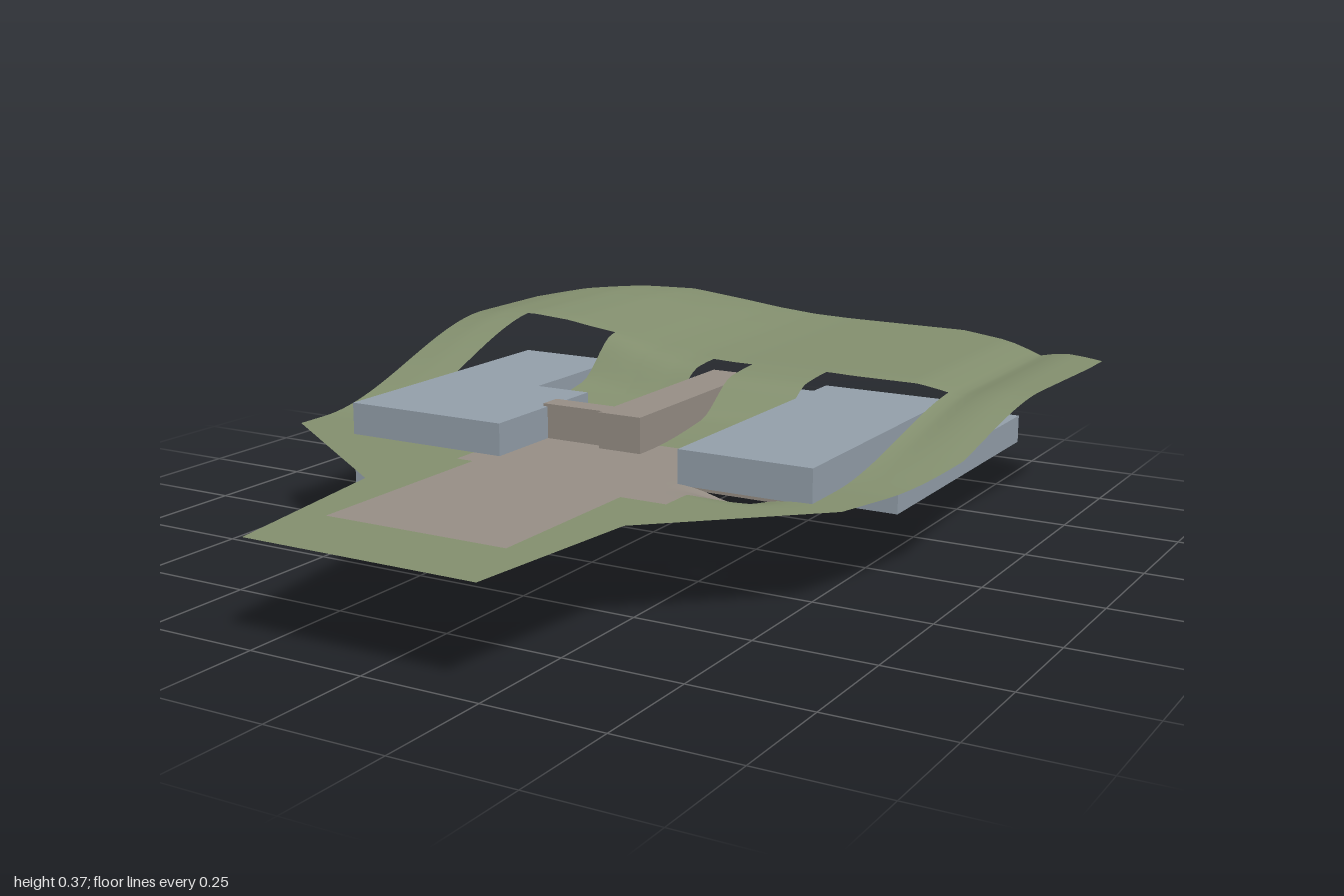
import * as THREE from 'three';

const mat = (name, color, side = THREE.FrontSide) => {
  const m = new THREE.MeshStandardMaterial({ color, side });
  m.name = name;
  return m;
};

// piecewise linear interpolation through [key, value] pairs
function lerpTable(table, k) {
  if (k <= table[0][0]) return table[0][1];
  for (let i = 1; i < table.length; i++) {
    const [k0, v0] = table[i - 1], [k1, v1] = table[i];
    if (k <= k1) return v0 + ((v1 - v0) * (k - k0)) / (k1 - k0);
  }
  return table[table.length - 1][1];
}

// smooth ramp, 0 at a and 1 at b (a may exceed b)
function ramp(a, b, v) {
  const t = Math.min(1, Math.max(0, (v - a) / (b - a)));
  return t * t * (3 - 2 * t);
}

// site outline: x of the left and right borders by z
const WEST = [[-1, -0.46], [-0.66, -0.735], [0.28, -0.735], [0.575, -0.32], [1, -0.255]];
const EAST = [[-1, 0.31], [-0.79, 0.73], [-0.03, 0.69], [0.32, 0.59], [0.6, 0.29], [1, 0.25]];
// height of the hill behind the buildings
const CREST = [[-0.74, 0.355], [-0.65, 0.37], [-0.55, 0.375], [-0.45, 0.368], [-0.3, 0.345], [-0.2, 0.328],
  [-0.1, 0.316], [0, 0.312], [0.45, 0.31], [0.5, 0.302], [0.55, 0.292], [0.6, 0.306], [0.64, 0.312], [0.74, 0.312]];
// cut-outs in the ground [x0, x1, z0, z1]
const HOLES = [[-0.57, -0.32, -0.37, 0.3], [-0.32, -0.19, -0.04, 0.3], [0.23, 0.52, -0.37, 0.3],
  [-0.05, 0.05, -0.36, 0.14], [-0.19, -0.05, 0.07, 0.12]];
// paved areas
const PAVING = [[-0.22, 0.19, 0.12, 0.82], [0.05, 0.23, 0.05, 0.3], [-0.25, 0.36, 0.3, 0.36], [0.15, 0.28, 0.36, 0.44]];

const inside = (rects, x, z) => rects.some(([a, b, c, d]) => x > a && x < b && z > c && z < d);

function groundHeight(x, z) {
  let crest = lerpTable(CREST, x);
  if (crest > 0.312) crest -= (crest - 0.312) * 3.5 * Math.max(0, -0.7 - z) ** 2;
  const gentle = ramp(0.2, -0.42, z);
  const bank = lerpTable([[-0.32, -0.29], [-0.05, -0.22], [0.05, -0.19], [0.23, -0.2]], x);
  const steep = 0.45 * ramp(0.1, -0.4, z) + 0.55 * ramp(bank + 0.07, bank - 0.07, z);
  const court = ramp(-0.4, -0.32, x) * ramp(0.31, 0.23, x);
  const dip = 0.025 * Math.exp(-(((x - 0.36) / 0.07) ** 2) - ((z - 0.31) / 0.03) ** 2);
  return 0.211 + (crest - 0.211) * (gentle + (steep - gentle) * court) - dip;
}

// evenly spaced grid lines plus the lines where cut-outs and corners fall
function gridLines(min, max, step, extra) {
  const set = new Set(extra.map((v) => v.toFixed(3)));
  for (let v = min; v <= max + 1e-6; v += step) set.add(v.toFixed(3));
  return [...set].map(Number).sort((a, b) => a - b);
}

function groundGeometry() {
  const xs = gridLines(-0.735, 0.735, 0.02, HOLES.flatMap((h) => [h[0], h[1]]));
  const zs = gridLines(-1, 1, 0.02, [...HOLES.flatMap((h) => [h[2], h[3]]), ...WEST.map((p) => p[0]), ...EAST.map((p) => p[0])]);
  const pos = [], grass = [], paved = [];
  for (const z of zs) {
    for (const gx of xs) {
      const x = Math.min(lerpTable(EAST, z), Math.max(lerpTable(WEST, z), gx));
      pos.push(x, groundHeight(x, z), z);
    }
  }
  const n = xs.length;
  for (let j = 0; j < zs.length - 1; j++) {
    for (let i = 0; i < n - 1; i++) {
      const a = j * n + i, b = a + 1, c = a + n, d = c + 1;
      const cx = (xs[i] + xs[i + 1]) / 2, cz = (zs[j] + zs[j + 1]) / 2;
      if (inside(HOLES, cx, cz)) continue;
      const list = inside(PAVING, cx, cz) ? paved : grass;
      if (pos[b * 3] - pos[a * 3] > 1e-6) list.push(a, c, b);
      if (pos[d * 3] - pos[c * 3] > 1e-6) list.push(b, c, d);
    }
  }
  const geo = new THREE.BufferGeometry();
  geo.setAttribute('position', new THREE.Float32BufferAttribute(pos, 3));
  geo.setIndex([...grass, ...paved]);
  geo.addGroup(0, grass.length, 0);
  geo.addGroup(grass.length, paved.length, 1);
  geo.computeVertexNormals();
  return geo;
}

export function createModel() {
  const model = new THREE.Group();
  model.name = 'hillsideBuilding';
  const grass = mat('grass green', 0x84906f, THREE.DoubleSide);
  const paving = mat('paving taupe', 0x978f86, THREE.DoubleSide);
  const blue = mat('slate blue', 0x94a0ab);
  const taupe = mat('wall taupe', 0x978f86);

  const add = (name, geo, material) => {
    const mesh = new THREE.Mesh(geo, material);
    mesh.name = name;
    model.add(mesh);
  };
  const box = (name, material, x0, x1, y0, y1, z0, z1) =>
    add(name, new THREE.BoxGeometry(x1 - x0, y1 - y0, z1 - z0).translate((x0 + x1) / 2, (y0 + y1) / 2, (z0 + z1) / 2), material);
  // upright prism over a plan of [x, z] points
  const prism = (name, material, plan, y0, y1) => {
    const shape = new THREE.Shape(plan.map(([x, z]) => new THREE.Vector2(x, -z)));
    const geo = new THREE.ExtrudeGeometry(shape, { depth: y1 - y0, bevelEnabled: false });
    add(name, geo.rotateX(-Math.PI / 2).translate(0, y0, 0), material);
  };

  // ground sheet
  add('ground', groundGeometry(), [grass, paving]);

  // upper storey, with taupe floors
  const wing = [[-0.57, 0.3], [-0.19, 0.3], [-0.19, -0.04], [-0.32, -0.04], [-0.32, -0.37], [-0.57, -0.37]];
  prism('rightUpperWing', blue, wing, 0.208, 0.28);
  prism('rightUpperFloor', taupe, wing, 0.202, 0.208);
  box('leftUpperWing', blue, 0.23, 0.52, 0.208, 0.28, -0.37, 0.3);
  box('leftUpperFloor', taupe, 0.23, 0.52, 0.202, 0.208, -0.37, 0.3);

  // middle storey, one L-shaped slab that wraps the hill
  prism('middleStorey', blue, [[-0.57, 0.3], [-0.19, 0.3], [-0.19, -0.11], [0.52, -0.11], [0.52, -0.83],
    [-0.36, -0.83], [-0.36, -0.58], [-0.57, -0.58]], 0.088, 0.152);
  prism('middleFloor', taupe, [[-0.57, 0.3], [-0.19, 0.3], [-0.19, -0.11], [0.14, -0.11], [0.14, -0.565], [-0.57, -0.565]], 0.085, 0.088);

  // lowest storey
  box('lowerStorey', blue, -0.57, -0.19, 0, 0.087, -0.58, -0.11);

  // circulation: stair spine, connecting passage and core
  box('stairSpine', taupe, -0.05, 0.05, 0.122, 0.288, -0.36, 0.14);
  box('stairFoot', taupe, -0.05, 0.05, 0.085, 0.122, -0.12, 0.13);
  box('passage', taupe, -0.2, -0.05, 0.085, 0.286, 0.07, 0.12);
  box('core', taupe, -0.36, -0.05, 0.152, 0.203, -0.35, 0.12);

  // entrance door posts
  for (const x of [-0.042, 0.0, 0.042]) box('doorPost', taupe, x - 0.005, x + 0.005, 0.085, 0.122, 0.13, 0.138);

  return model;
}
